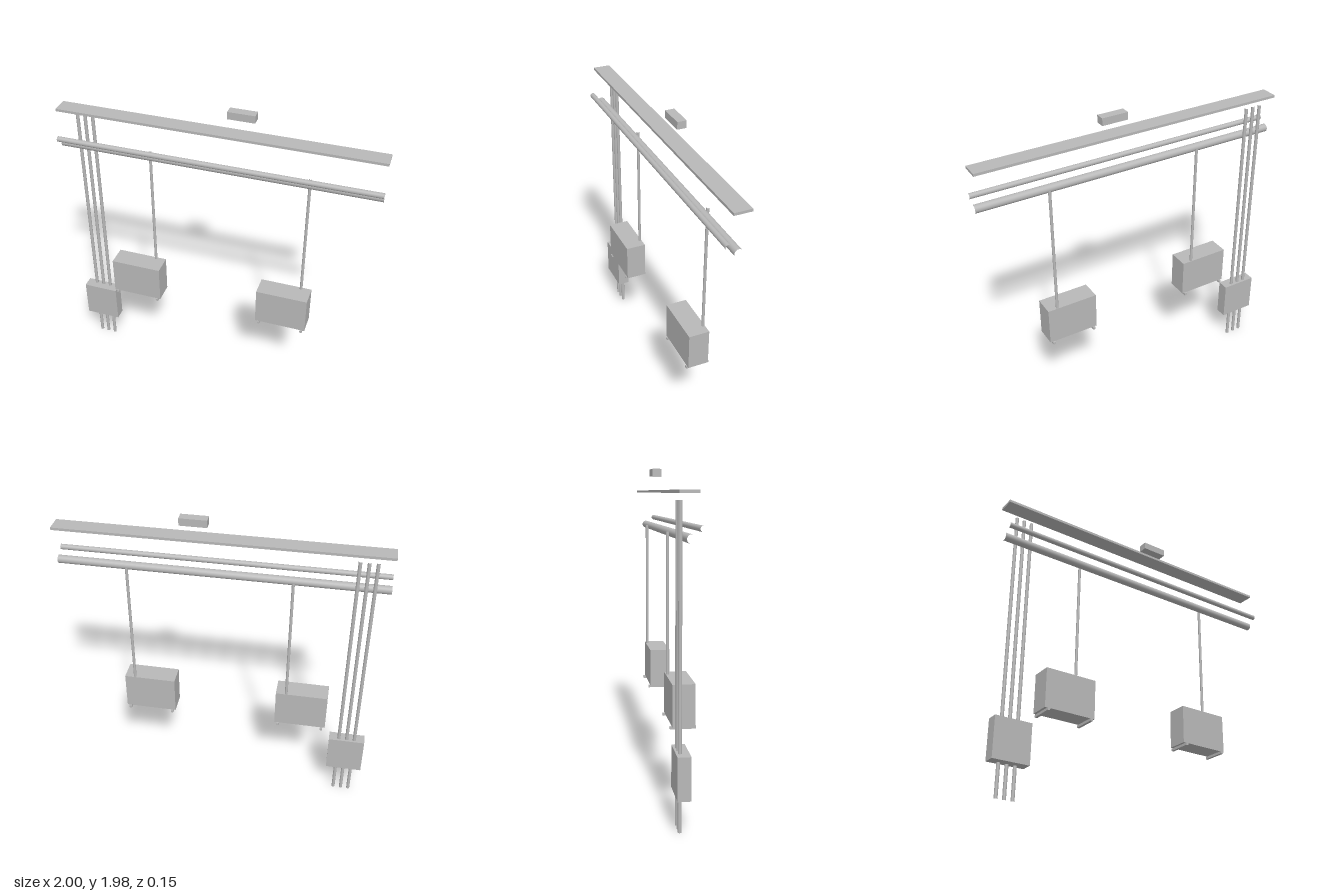
import * as THREE from 'three';

export function createModel() {
  const model = new THREE.Group();
  const grey = new THREE.MeshStandardMaterial({ color: 0xb8b8b8 });
  grey.name = 'light grey metal';

  // Box given by its lower and upper limits on each axis
  function box(name, [x0, x1], [y0, y1], [z0, z1], parent = model) {
    const mesh = new THREE.Mesh(new THREE.BoxGeometry(x1 - x0, y1 - y0, z1 - z0), grey);
    mesh.position.set((x0 + x1) / 2, (y0 + y1) / 2, (z0 + z1) / 2);
    mesh.name = name;
    parent.add(mesh);
  }

  // Open-ended straight pipe between two points
  function pipe(name, from, to, radius, parent = model) {
    const a = new THREE.Vector3(...from), b = new THREE.Vector3(...to);
    const geometry = new THREE.CylinderGeometry(radius, radius, a.distanceTo(b), 24, 1, true);
    const mesh = new THREE.Mesh(geometry, grey);
    mesh.position.copy(a).add(b).multiplyScalar(0.5);
    mesh.quaternion.setFromUnitVectors(new THREE.Vector3(0, 1, 0), b.sub(a).normalize());
    mesh.name = name;
    parent.add(mesh);
  }

  // Overhead parts
  box('ceilingBox', [0.064, 0.23], [1.938, 1.984], [-0.075, -0.018]);
  box('overheadTray', [-1, 1], [1.836, 1.852], [-0.075, 0.032]);

  // Two horizontal main pipes
  pipe('smallMainPipe', [-1, 1.656, 0.05], [1, 1.656, 0.05], 0.0165);
  pipe('largeMainPipe', [-1, 1.605, -0.01], [1, 1.605, -0.01], 0.025);

  // Three risers passing through the junction box
  for (const x of [-0.903, -0.853, -0.802]) {
    pipe('riserPipe', [x, 0, -0.053], [x, 1.8, -0.053], 0.0107);
  }
  box('junctionBox', [-0.969, -0.738], [0.201, 0.45], [-0.075, 0]);

  // Two hanging cabinets, each with a drop pipe and two bottom rails
  for (const x of [-0.536, 0.464]) {
    const unit = new THREE.Group();
    unit.name = 'cabinetUnit';
    unit.position.x = x;
    box('cabinet', [-0.166, 0.166], [0.536, 0.782], [-0.064, 0.068], unit);
    for (const side of [-1, 1]) {
      const c = side * 0.143;
      box('bottomRail', [c - 0.008, c + 0.008], [0.52, 0.536], [-0.075, 0.075], unit);
    }
    pipe('dropPipe', [0.1, 0.782, -0.053], [0.1, 1.617, -0.053], 0.009, unit);
    model.add(unit);
  }

  return model;
}
